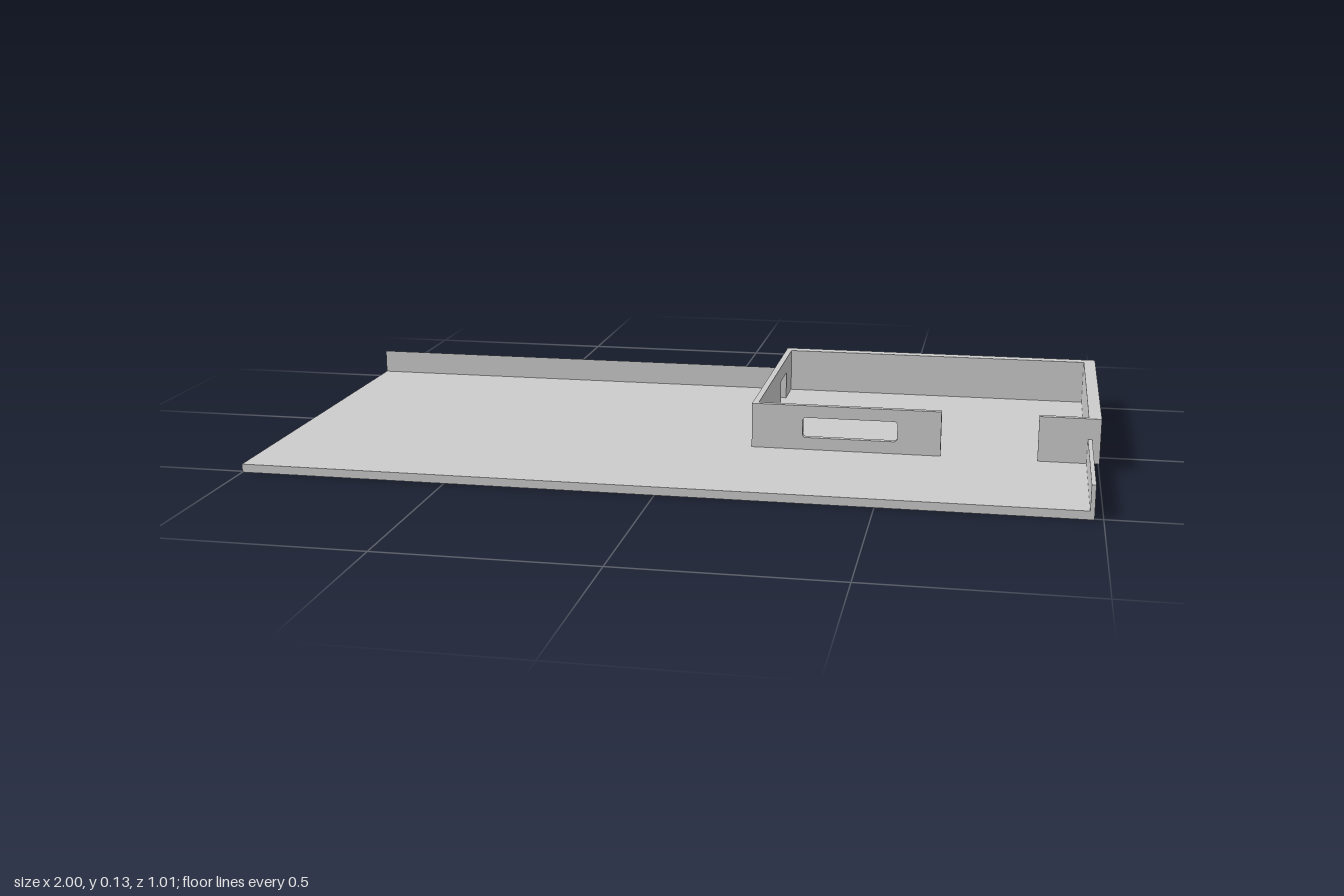
import * as THREE from 'three';

const BASE = 0.02, TOP = 0.13, LOW = 0.08;
const BACK = -0.475, FRONT = 0.507, LEFT = 0.97;
const material = new THREE.MeshStandardMaterial({ color: 0xcccccc, side: THREE.DoubleSide, flatShading: true });

const outline = (points) => new THREE.Shape(points.map(([a, b]) => new THREE.Vector2(a, b)));

// Removes the faces lying on the floor level, so walls stay hollow underneath
function openBase(geometry) {
  const source = geometry.index ? geometry.toNonIndexed() : geometry;
  const p = source.attributes.position;
  const kept = [];
  for (let i = 0; i < p.count; i += 3) {
    const onFloor = [0, 1, 2].every((k) => Math.abs(p.getY(i + k) - BASE) < 1e-4);
    if (onFloor) continue;
    for (let k = 0; k < 3; k++) kept.push(p.getX(i + k), p.getY(i + k), p.getZ(i + k));
  }
  const result = new THREE.BufferGeometry();
  result.setAttribute('position', new THREE.Float32BufferAttribute(kept, 3));
  result.computeVertexNormals();
  return result;
}

// Hollow wall between two corners, standing on the floor
function wallBox(x0, x1, z0, z1, top) {
  const g = new THREE.BoxGeometry(x1 - x0, top - BASE, z1 - z0);
  g.translate((x0 + x1) / 2, (BASE + top) / 2, (z0 + z1) / 2);
  return openBase(g);
}

// Upright sheet of no thickness facing along z
function sheet(x0, x1, y0, y1, z) {
  return new THREE.PlaneGeometry(x1 - x0, y1 - y0).translate((x0 + x1) / 2, (y0 + y1) / 2, z);
}

// Horizontal sheet from [x, z] corners
function flat(points, y, hole) {
  const shape = outline(points.map(([x, z]) => [x, -z]));
  if (hole) shape.holes.push(outline(hole.map(([x, z]) => [x, -z])));
  return new THREE.ShapeGeometry(shape).rotateX(-Math.PI / 2).translate(0, y, 0);
}

export function createModel() {
  const model = new THREE.Group();
  const add = (name, geometry) => {
    const mesh = new THREE.Mesh(geometry, material);
    mesh.name = name;
    model.add(mesh);
  };

  // Floor, left open beneath the hollow room walls
  add('floor', flat([
    [-1, FRONT], [LEFT, FRONT], [LEFT, 0.13], [0.855, 0.13], [0.855, 0.115], [LEFT, 0.115],
    [LEFT, BACK], [0.18, BACK], [0.18, -0.375], [0.165, -0.375], [0.165, BACK], [-1, BACK],
  ], BASE, [
    [0.165, -0.27], [0.18, -0.27], [0.18, 0.115], [0.625, 0.115], [0.625, 0.13], [0.165, 0.13],
  ]));
  add('frontLip', sheet(-1, 0.98, 0, BASE, FRONT));

  // Low boundary walls
  add('lowBackWall', sheet(-1, 0.165, BASE, LOW, BACK));
  add('lowSideWall', wallBox(LEFT, 0.98, 0.13, FRONT, LOW));

  // Front room wall with a window
  const front = outline([[0.165, BASE], [0.625, BASE], [0.625, TOP], [0.165, TOP]]);
  const r = 0.008, x0 = 0.29, x1 = 0.52, y0 = 0.05, y1 = 0.1;
  const windowHole = new THREE.Path();
  windowHole.absarc(x1 - r, y1 - r, r, 0, Math.PI / 2);
  windowHole.absarc(x0 + r, y1 - r, r, Math.PI / 2, Math.PI);
  windowHole.absarc(x0 + r, y0 + r, r, Math.PI, 1.5 * Math.PI);
  windowHole.absarc(x1 - r, y0 + r, r, 1.5 * Math.PI, 2 * Math.PI);
  front.holes.push(windowHole);
  const extrude = { depth: 0.015, bevelEnabled: false, curveSegments: 3 };
  add('windowWall', openBase(new THREE.ExtrudeGeometry(front, extrude).translate(0, 0, 0.115)));

  // Short front wall on the other side of the entrance
  add('entranceStub', wallBox(0.855, 1, 0.115, 0.13, TOP));

  // Inner side wall with a doorway, drawn along z
  const side = outline([
    [BACK, BASE], [-0.375, BASE], [-0.375, 0.09], [-0.27, 0.09], [-0.27, BASE],
    [0.115, BASE], [0.115, TOP], [BACK, TOP],
  ]);
  add('doorWall', openBase(new THREE.ExtrudeGeometry(side, extrude)
    .rotateY(-Math.PI / 2).translate(0.18, 0, 0)));

  // Outer room walls and the ledge projecting from their top
  add('outerBackWall', sheet(0.165, LEFT, BASE, TOP, BACK));
  add('outerSideWall', new THREE.PlaneGeometry(0.115 - BACK, TOP - BASE)
    .rotateY(Math.PI / 2).translate(LEFT, (BASE + TOP) / 2, (0.115 + BACK) / 2));
  add('topLedge', flat([
    [0.165, -FRONT], [0.165, BACK], [LEFT, BACK], [LEFT, 0.115], [1, 0.115], [1, -FRONT],
  ], TOP));

  return model;
}
